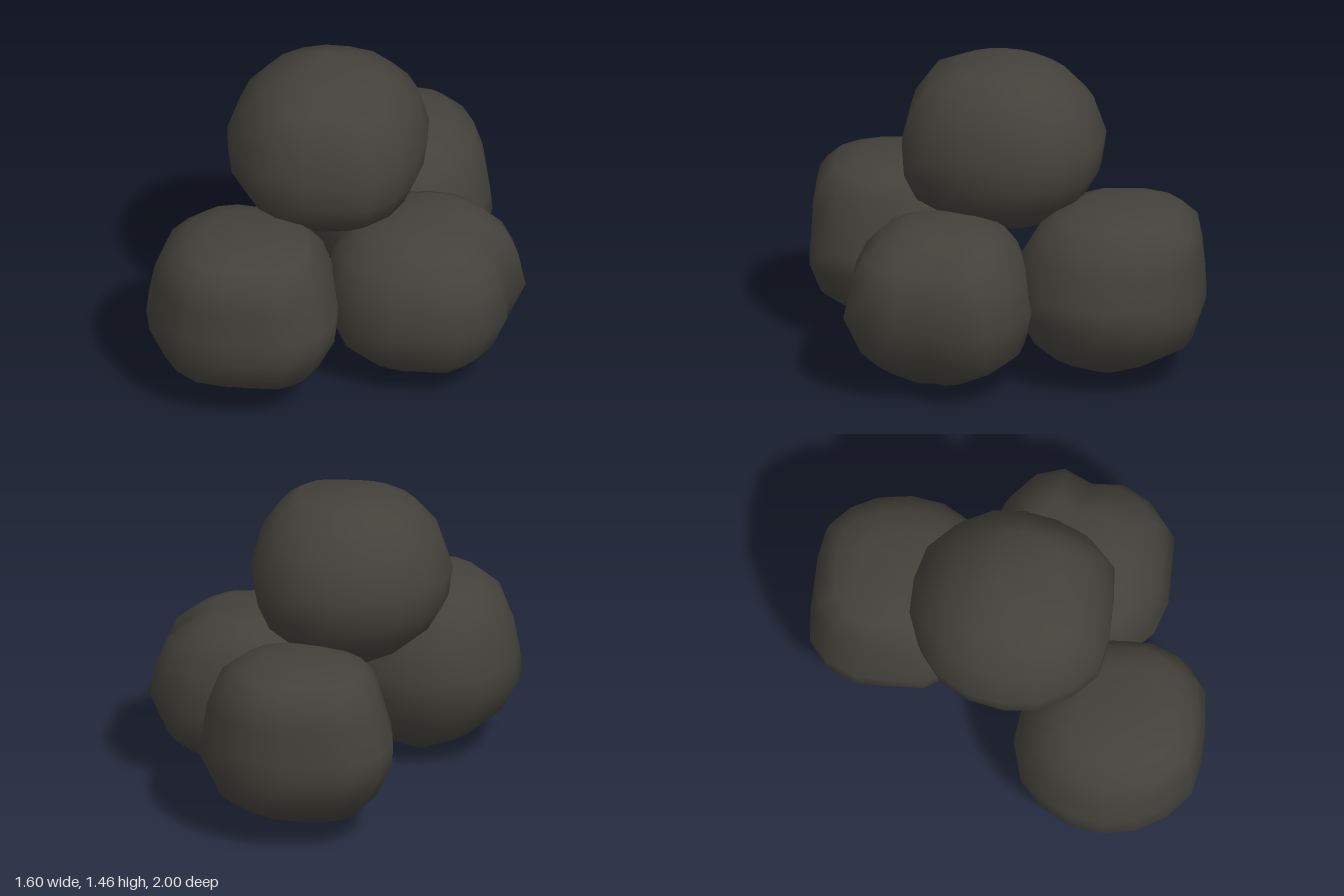
import * as THREE from 'three';

const SIDES = 18;

// Lofts a lumpy stone: a plan outline [x, z] is scaled ring by ring.
// rings: [y, left, right, back, front] extents from the stone's centre, bottom to top.
// bottom and top: [x, y, z] of the closing points.
function stoneGeometry(outline, rings, bottom, top) {
  const curve = new THREE.CatmullRomCurve3(
    outline.map(([x, z]) => new THREE.Vector3(x, 0, z)), true, 'centripetal');
  const plan = curve.getSpacedPoints(SIDES).slice(0, SIDES);
  const xs = plan.map(p => p.x), zs = plan.map(p => p.z);
  const minX = -Math.min(...xs), maxX = Math.max(...xs);
  const minZ = -Math.min(...zs), maxZ = Math.max(...zs);

  const positions = [...bottom];
  for (const [y, left, right, back, front] of rings) {
    for (const p of plan) {
      positions.push(
        p.x * (p.x < 0 ? left / minX : right / maxX), y,
        p.z * (p.z < 0 ? back / minZ : front / maxZ));
    }
  }
  positions.push(...top);

  const index = [];
  const last = 1 + rings.length * SIDES;
  const at = (ring, j) => 1 + ring * SIDES + (j % SIDES);
  for (let j = 0; j < SIDES; j++) {
    index.push(0, at(0, j), at(0, j + 1));
    for (let r = 0; r < rings.length - 1; r++) {
      const a = at(r, j), b = at(r, j + 1), c = at(r + 1, j), d = at(r + 1, j + 1);
      index.push(a, c, b, b, c, d);
    }
    index.push(at(rings.length - 1, j), last, at(rings.length - 1, j + 1));
  }
  const geometry = new THREE.BufferGeometry();
  geometry.setAttribute('position', new THREE.Float32BufferAttribute(positions, 3));
  geometry.setIndex(index);
  geometry.computeVertexNormals();
  return geometry;
}

export function createModel() {
  const group = new THREE.Group();
  const stone = new THREE.MeshStandardMaterial({ color: 0x42413a });
  stone.name = 'dark stone';

  const add = (name, geometry, x, z, turn = 0) => {
    const mesh = new THREE.Mesh(geometry, stone);
    mesh.name = name;
    mesh.position.set(x, 0, z);
    mesh.rotation.y = turn;
    group.add(mesh);
  };

  // Front and back stones share one shape, turned half a circle
  const baseStone = stoneGeometry(
    [[0.46, 0.05], [0.44, 0.2], [0.34, 0.33], [0.2, 0.38], [0.03, 0.42], [-0.12, 0.43],
      [-0.22, 0.39], [-0.36, 0.27], [-0.44, 0.11], [-0.46, -0.01], [-0.43, -0.15],
      [-0.38, -0.28], [-0.23, -0.4], [0, -0.43], [0.2, -0.38], [0.37, -0.25], [0.42, -0.09]],
    [[0.04, 0.12, 0.15, 0.17, 0.07],
      [0.1, 0.26, 0.29, 0.27, 0.21],
      [0.2, 0.38, 0.38, 0.37, 0.38],
      [0.35, 0.46, 0.455, 0.42, 0.43],
      [0.45, 0.45, 0.46, 0.43, 0.42],
      [0.6, 0.42, 0.41, 0.4, 0.42],
      [0.72, 0.37, 0.38, 0.33, 0.4],
      [0.79, 0.28, 0.32, 0.25, 0.32],
      [0.825, 0.17, 0.21, 0.15, 0.2]],
    [-0.02, 0, -0.09], [0, 0.835, 0.02]);
  add('frontStone', baseStone, -0.34, 0.57);
  add('backStone', baseStone, -0.05, -0.57, Math.PI);

  // Stone on the left side
  add('sideStone', stoneGeometry(
    [[0.44, 0.08], [0.34, 0.34], [0.14, 0.41], [0, 0.45], [-0.16, 0.44], [-0.3, 0.36],
      [-0.4, 0.2], [-0.43, 0], [-0.38, -0.2], [-0.25, -0.36], [0, -0.44], [0.21, -0.42],
      [0.29, -0.38], [0.41, -0.28], [0.39, -0.07]],
    [[0.065, 0.2, 0.2, 0.18, 0.15],
      [0.12, 0.3, 0.28, 0.29, 0.29],
      [0.2, 0.38, 0.36, 0.39, 0.37],
      [0.38, 0.43, 0.44, 0.44, 0.45],
      [0.55, 0.42, 0.41, 0.4, 0.41],
      [0.65, 0.38, 0.36, 0.36, 0.36],
      [0.73, 0.3, 0.25, 0.31, 0.28],
      [0.775, 0.18, 0.16, 0.23, 0.18]],
    [0, 0.05, 0], [-0.07, 0.79, -0.02]), 0.36, 0.12);

  // Stone resting on the other three
  add('topStone', stoneGeometry(
    [[0.46, 0.06], [0.44, 0.22], [0.35, 0.37], [0.11, 0.44], [-0.05, 0.48], [-0.18, 0.45],
      [-0.37, 0.3], [-0.44, 0.15], [-0.46, -0.02], [-0.42, -0.2], [-0.35, -0.3],
      [-0.25, -0.39], [-0.12, -0.45], [0.12, -0.47], [0.22, -0.43], [0.35, -0.32], [0.43, -0.17]],
    [[0.65, 0.16, 0.15, 0.18, 0.18],
      [0.7, 0.25, 0.24, 0.28, 0.3],
      [0.8, 0.37, 0.39, 0.38, 0.41],
      [0.92, 0.44, 0.44, 0.45, 0.47],
      [1.06, 0.46, 0.46, 0.47, 0.475],
      [1.23, 0.4, 0.42, 0.41, 0.43],
      [1.34, 0.3, 0.34, 0.3, 0.35],
      [1.4, 0.19, 0.26, 0.19, 0.22]],
    [0, 0.62, 0], [-0.03, 1.455, -0.05]), -0.15, 0);

  return group;
}
